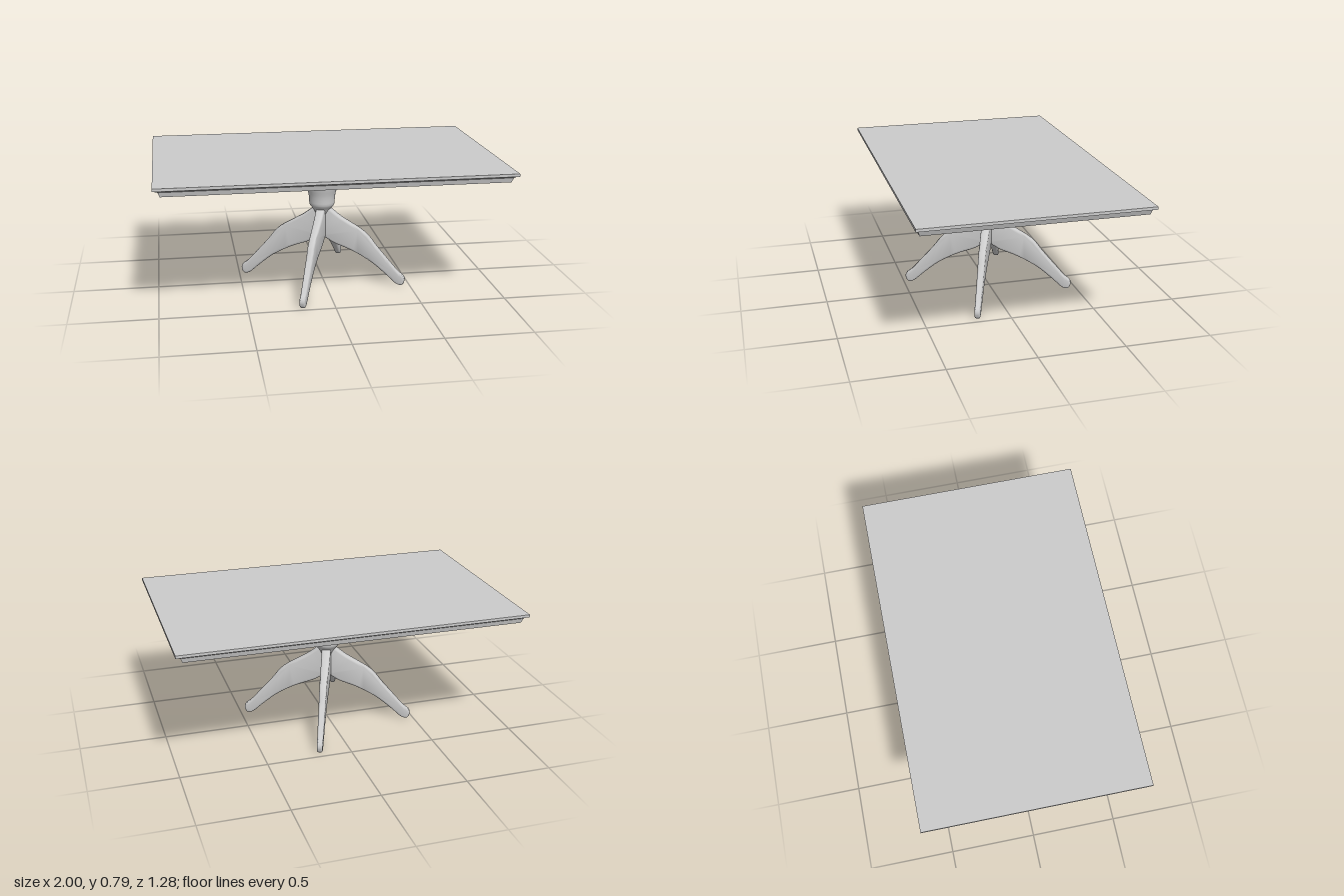
import * as THREE from 'three';
import { toCreasedNormals } from 'three/addons/utils/BufferGeometryUtils.js';

const vec = ([x, y]) => new THREE.Vector2(x, y);

// Rectangular top: a four-sided lathe of the edge moulding, stretched to length
function makeTop(material) {
  const halfWidth = 0.64, halfLength = 1;
  const profile = [[0, 0.737], [0.615, 0.737], [0.622, 0.764], [0.628, 0.769],
    [0.64, 0.774], [0.64, 0.79], [0, 0.79]].map(vec);
  const geometry = new THREE.LatheGeometry(profile, 4, Math.PI / 4);
  geometry.scale(Math.SQRT2 * halfLength / halfWidth, 1, Math.SQRT2);
  const top = new THREE.Mesh(toCreasedNormals(geometry, 0.1), material);
  top.name = 'tableTop';
  return top;
}

// Turned vase-shaped column with a narrow neck above the legs
function makeColumn(material) {
  const bulb = new THREE.SplineCurve([[0.076, 0.486], [0.08, 0.54], [0.093, 0.593],
    [0.099, 0.644], [0.093, 0.69], [0.079, 0.738]].map(vec)).getPoints(16);
  const profile = [[0, 0.39], [0.03, 0.4], [0.05, 0.45], [0.06, 0.463], [0.07, 0.475]].map(vec);
  const geometry = new THREE.LatheGeometry([...profile, ...bulb], 32);
  const column = new THREE.Mesh(toCreasedNormals(geometry, 0.7), material);
  column.name = 'column';
  return column;
}

// Curved leg: bevelled side outline, tapered in thickness towards the toe
function makeLegGeometry() {
  const upper = [[0.04, 0.47], [0.118, 0.41], [0.265, 0.322], [0.34, 0.235], [0.415, 0.15],
    [0.469, 0.09], [0.506, 0.06], [0.513, 0.03], [0.496, 0.003], [0.458, 0.012],
    [0.4, 0.063], [0.304, 0.14], [0.194, 0.2], [0.081, 0.243], [0.03, 0.272], [0, 0.283]];
  const outline = new THREE.SplineCurve(upper.map(vec)).getPoints(60);
  const shape = new THREE.Shape([vec([-0.02, 0.283]), vec([-0.02, 0.47]), ...outline].reverse());
  const bevel = 0.014, thickness = 0.056;
  const geometry = new THREE.ExtrudeGeometry(shape, {
    depth: thickness - 2 * bevel, bevelSize: bevel, bevelThickness: bevel,
    bevelOffset: -bevel, bevelSegments: 3,
  });
  geometry.translate(0, 0, bevel - thickness / 2);
  const position = geometry.attributes.position;
  for (let i = 0; i < position.count; i++) {
    const t = THREE.MathUtils.clamp(position.getX(i) / 0.5, 0, 1);
    position.setZ(i, position.getZ(i) * (1 - 0.4 * t));
  }
  return toCreasedNormals(geometry, 0.7);
}

export function createModel() {
  const material = new THREE.MeshStandardMaterial({ color: 0xcccccc });
  const table = new THREE.Group();
  table.name = 'pedestalTable';

  const pedestal = new THREE.Group();
  pedestal.name = 'pedestal';
  pedestal.position.set(-0.005, 0, 0.008);
  pedestal.add(makeColumn(material));

  // Four legs, turned off the table's axes
  const legGeometry = makeLegGeometry();
  for (let i = 0; i < 4; i++) {
    const leg = new THREE.Mesh(legGeometry, material);
    leg.name = `leg${i + 1}`;
    leg.rotation.y = -0.38 - i * Math.PI / 2;
    pedestal.add(leg);
  }

  table.add(makeTop(material), pedestal);
  return table;
}
